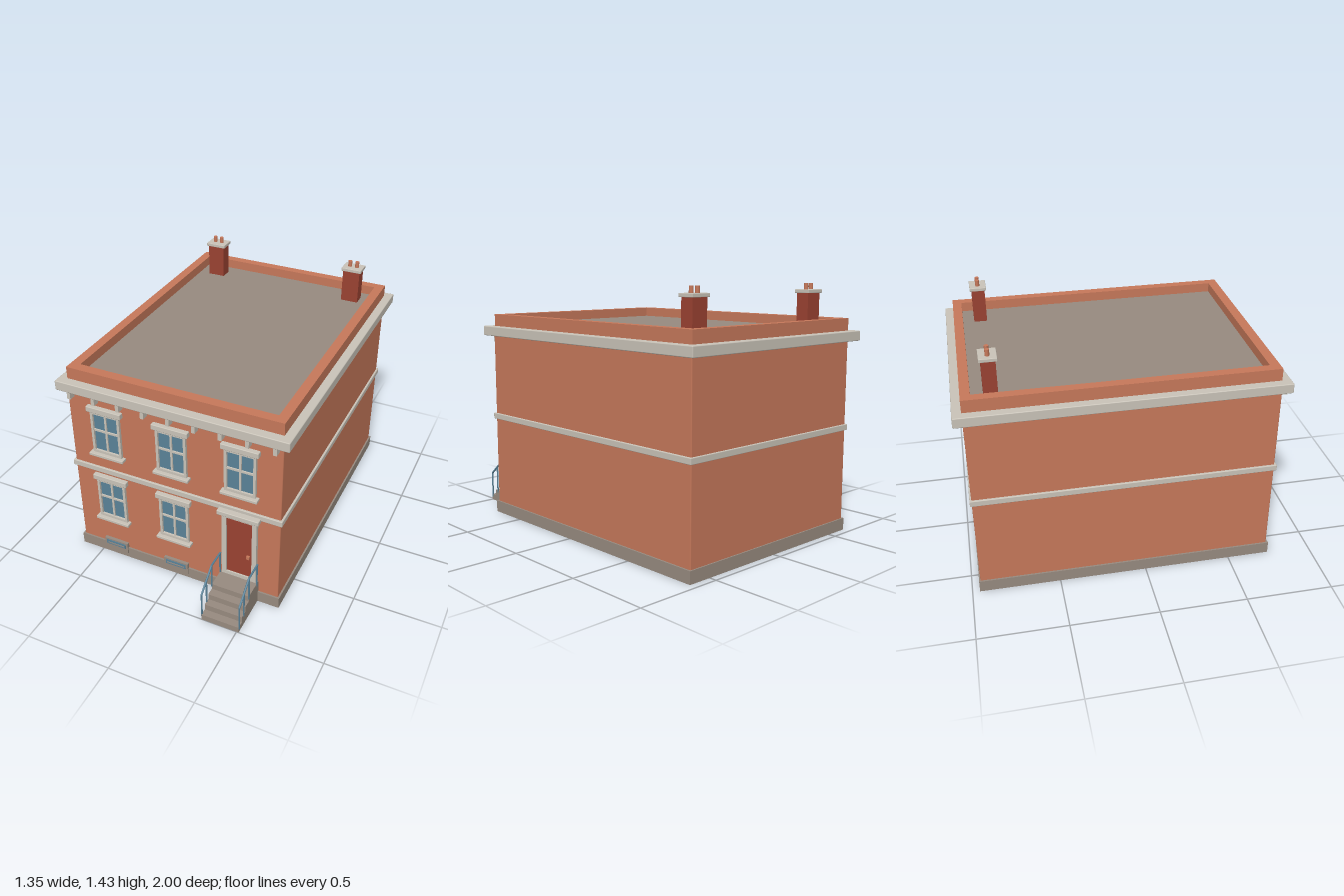
import * as THREE from 'three';
import { RoundedBoxGeometry } from 'three/addons/geometries/RoundedBoxGeometry.js';

const mat = (name, color) => Object.assign(new THREE.MeshStandardMaterial({ color }), { name });

export function createModel() {
  const brick = mat('brick', 0xc6785a);
  const red = mat('dark red', 0x9a4232);
  const trim = mat('pale stone', 0xc9c3b8);
  const stone = mat('grey stone', 0x978a7f);
  const blue = mat('slate blue', 0x5a8298);

  const house = new THREE.Group();
  house.name = 'townHouse';
  const FRONT = 0.735, BACK = -0.95;

  const add = (parent, name, geometry, material) => {
    const mesh = new THREE.Mesh(geometry, material);
    mesh.name = name;
    parent.add(mesh);
    return mesh;
  };
  const group = (name, x = 0, y = 0, z = 0) => {
    const g = new THREE.Group();
    g.name = name;
    g.position.set(x, y, z);
    house.add(g);
    return g;
  };
  // box given by its extents on each axis, optionally with softened edges
  const box = (parent, name, material, [x0, x1], [y0, y1], [z0, z1], r = 0) => {
    const s = [x1 - x0, y1 - y0, z1 - z0];
    const geo = r ? new RoundedBoxGeometry(...s, 1, r) : new THREE.BoxGeometry(...s);
    geo.translate((x0 + x1) / 2, (y0 + y1) / 2, (z0 + z1) / 2);
    return add(parent, name, geo, material);
  };
  const rect = (Type, x0, x1, y0, y1) => new Type([
    new THREE.Vector2(x0, y0), new THREE.Vector2(x1, y0),
    new THREE.Vector2(x1, y1), new THREE.Vector2(x0, y1),
  ]);
  // rectangular frame: outer and inner extents as [x0, x1, y0, y1]
  const frame = (outer, inner, depth) => {
    const shape = rect(THREE.Shape, ...outer);
    shape.holes.push(rect(THREE.Path, ...inner));
    return new THREE.ExtrudeGeometry(shape, { depth, bevelEnabled: false });
  };

  // walls, plinth, string course and cornice
  box(house, 'plinth', stone, [-0.64, 0.64], [0, 0.07], [-0.958, 0.745]);
  box(house, 'walls', brick, [-0.63, 0.63], [0.02, 1.14], [BACK, FRONT], 0.006);
  box(house, 'stringCourse', trim, [-0.642, 0.642], [0.595, 0.63], [-0.96, 0.747], 0.004);
  box(house, 'cornice', trim, [-0.676, 0.676], [1.11, 1.167], [-1, 0.78], 0.005);

  // parapet around a sunken flat roof
  const parapet = frame([-0.627, 0.627, -0.728, 0.95], [-0.573, 0.573, -0.672, 0.898], 0.085);
  parapet.rotateX(-Math.PI / 2).translate(0, 1.152, 0);
  add(house, 'parapet', parapet, brick);
  box(house, 'roofDeck', stone, [-0.575, 0.575], [1.15, 1.182], [-0.9, 0.674]);

  // cornice brackets
  for (let i = 0; i < 9; i++) {
    const x = -0.598 + i * 0.1495;
    box(house, 'bracket', trim, [x - 0.01, x + 0.01], [1.067, 1.112], [FRONT - 0.01, 0.775]);
  }

  // sash windows, measured from the sill
  const addWindow = (x, y) => {
    const w = group('window', x, y, FRONT);
    box(w, 'glass', blue, [-0.08, 0.08], [0.03, 0.275], [-0.002, 0.004]);
    add(w, 'frame', frame([-0.09, 0.09, 0.01, 0.29], [-0.075, 0.075, 0.034, 0.27], 0.017), trim);
    box(w, 'mullion', trim, [-0.006, 0.006], [0.03, 0.275], [0, 0.011]);
    box(w, 'transom', trim, [-0.077, 0.077], [0.158, 0.17], [0, 0.012]);
    box(w, 'lintel', trim, [-0.107, 0.107], [0.285, 0.318], [-0.005, 0.028], 0.004);
    box(w, 'sill', trim, [-0.107, 0.107], [0, 0.018], [-0.005, 0.038], 0.003);
  };
  for (const x of [-0.4, 0, 0.4]) addWindow(x, 0.722);
  for (const x of [-0.4, 0]) addWindow(x, 0.26);

  // basement lights set in the plinth
  for (const x of [-0.4, 0]) {
    const b = group('basementWindow', x, 0, FRONT);
    box(b, 'surround', stone, [-0.077, 0.077], [0.03, 0.105], [-0.01, 0.018]);
    box(b, 'pane', blue, [-0.064, 0.064], [0.066, 0.096], [0.015, 0.021]);
    box(b, 'bar', stone, [-0.055, 0.055], [0.076, 0.082], [0.018, 0.024]);
  }

  // front door with stone surround
  const door = group('frontDoor', 0.4, 0, FRONT);
  add(door, 'surround', frame([-0.103, 0.103, 0.14, 0.586], [-0.076, 0.076, 0.168, 0.557], 0.022), trim);
  box(door, 'leaf', red, [-0.078, 0.078], [0.165, 0.56], [-0.005, 0.012]);
  box(door, 'hood', trim, [-0.122, 0.122], [0.582, 0.61], [-0.005, 0.046], 0.004);
  box(door, 'handle', brick, [0.045, 0.063], [0.305, 0.323], [0.01, 0.026]);

  // entrance steps
  const steps = group('entranceSteps', 0.4);
  [[0.146, 0.866], [0.11, 0.912], [0.073, 0.956], [0.036, 1]].forEach(([y, z], i) =>
    box(steps, i ? 'step' : 'landing', stone, [-0.112, 0.112], [0, y], [0.73, z]));

  // railings: posts at each side carrying a sloped, then level, handrail
  const bar = (parent, name, a, b, r) => {
    const from = new THREE.Vector3(...a), to = new THREE.Vector3(...b);
    const m = add(parent, name, new THREE.CylinderGeometry(r, r, from.distanceTo(to), 8), blue);
    m.position.copy(from).lerp(to, 0.5);
    m.quaternion.setFromUnitVectors(new THREE.Vector3(0, 1, 0), to.sub(from).normalize());
  };
  for (const side of [-1, 1]) {
    const r = group('railing', 0.4 + side * 0.112);
    bar(r, 'slopedRail', [0, 0.18, 0.992], [0, 0.287, 0.866], 0.006);
    bar(r, 'levelRail', [0, 0.287, 0.868], [0, 0.287, 0.755], 0.006);
    for (const [z, y0, y1] of [[0.992, 0.02, 0.182], [0.932, 0.06, 0.232], [0.866, 0.13, 0.29], [0.76, 0.13, 0.29]])
      bar(r, 'post', [0, y0, z], [0, y1, z], 0.005);
  }

  // chimneys with cap and two pots
  for (const side of [-1, 1]) {
    const c = group('chimney', side * 0.457, 0, -0.794);
    box(c, 'stack', red, [-0.052, 0.052], [1.17, 1.378], [-0.038, 0.038]);
    box(c, 'cap', trim, [-0.062, 0.062], [1.378, 1.398], [-0.048, 0.048], 0.003);
    for (const x of [-0.022, 0.022]) {
      const pot = add(c, 'pot', new THREE.CylinderGeometry(0.012, 0.012, 0.04, 16), brick);
      pot.position.set(x, 1.413, 0);
    }
  }
  return house;
}
